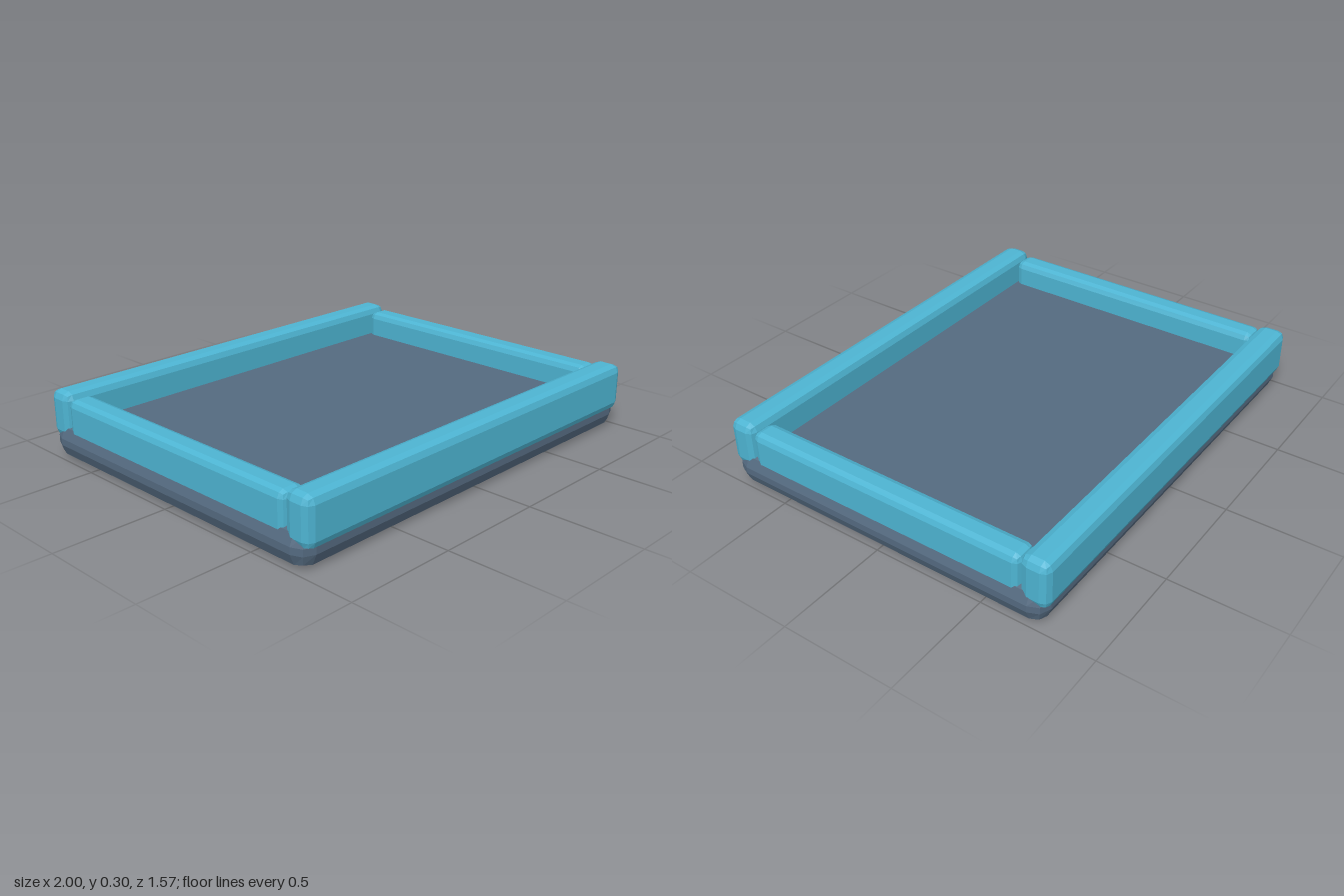
import * as THREE from 'three';
import { RoundedBoxGeometry } from 'three/addons/geometries/RoundedBoxGeometry.js';

const slate = new THREE.MeshStandardMaterial({ color: 0x546a80, flatShading: true });
slate.name = 'slate';
const cyan = new THREE.MeshStandardMaterial({ color: 0x4db4d2, flatShading: true });
cyan.name = 'cyan';

// Bevelled block given by its size, centre and bottom height
function block(name, [w, h, d], [x, bottom, z], bevel, material) {
  const mesh = new THREE.Mesh(new RoundedBoxGeometry(w, h, d, 1, bevel), material);
  mesh.name = name;
  mesh.position.set(x, bottom + h / 2, z);
  return mesh;
}

export function createModel() {
  const group = new THREE.Group();
  group.name = 'tray';

  // Floor slab
  group.add(block('base', [2, 0.16, 1.54], [0, 0, 0], 0.065, slate));

  // Raised rim: taller rails front and back, lower rails between them
  for (const s of [1, -1]) {
    group.add(block(s > 0 ? 'frontRail' : 'backRail',
      [1.975, 0.21, 0.125], [0, 0.088, s * 0.7225], 0.035, cyan));
    group.add(block(s > 0 ? 'leftRail' : 'rightRail',
      [0.115, 0.19, 1.32], [s * 0.9275, 0.088, 0], 0.03, cyan));
  }
  return group;
}
